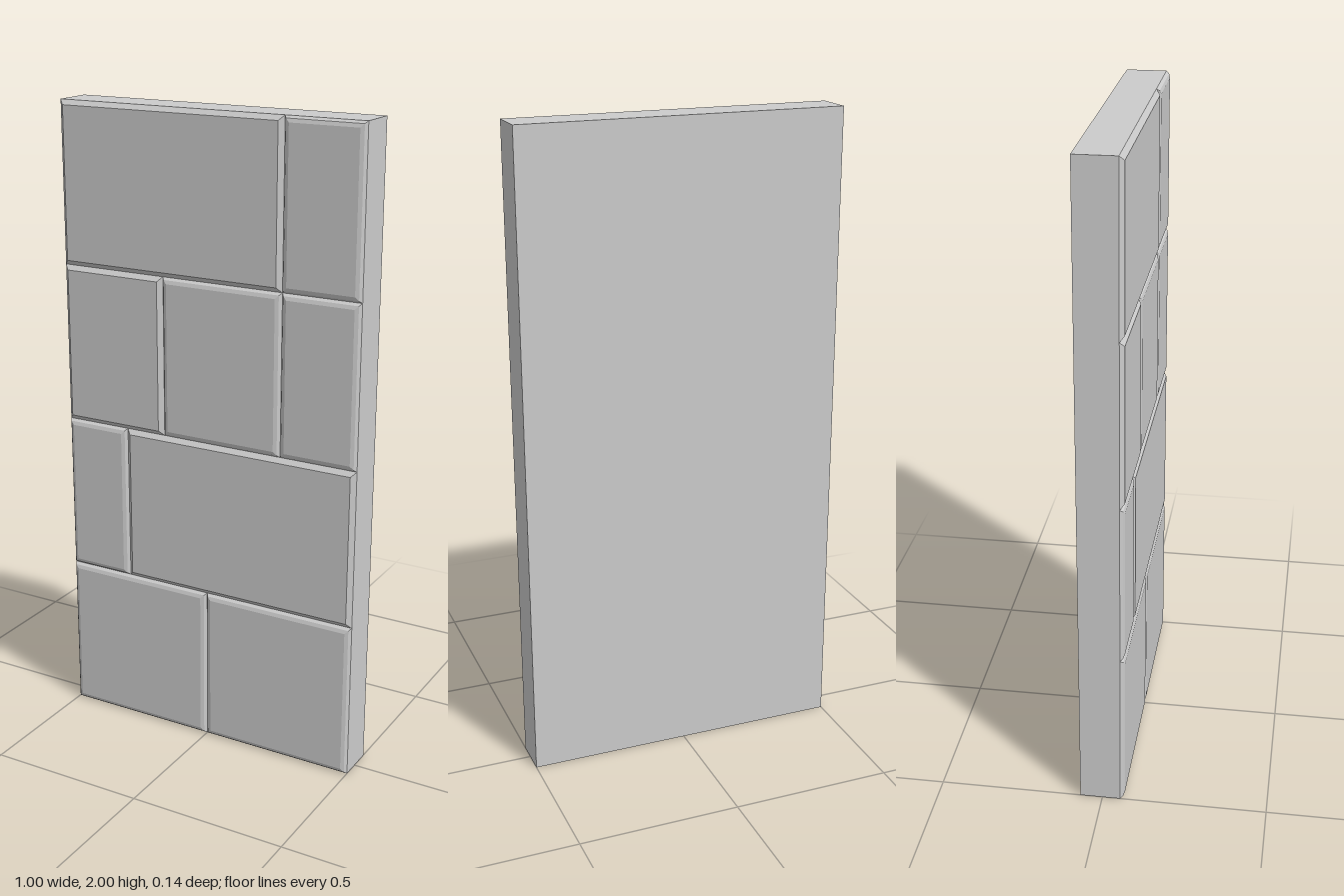
import * as THREE from 'three';

const BACK = -0.068, BASE = 0.055, RISE = 0.013;

// Bevel steps as [inset, height]: a single chamfer or a two-step rounded edge
const CHAMFER = [[0, 0], [0.015, RISE]];
const ROUNDED = [[0, 0], [0.007, 0.009], [0.018, RISE]];

// Each course: bottom, then stones as [left, right, bevel]
const COURSES = [
  [0.0, [[-0.5, 0, ROUNDED], [0, 0.5, ROUNDED]]],
  [0.5, [[-0.5, -0.285, ROUNDED], [-0.285, 0.5, CHAMFER]]],
  [1.0, [[-0.5, -0.15, CHAMFER], [-0.15, 0.25, ROUNDED], [0.25, 0.5, ROUNDED]]],
  [1.5, [[-0.5, 0.25, CHAMFER], [0.25, 0.5, ROUNDED]]],
];

// Raised stone face: rectangular rings stepping inwards, closed by a flat front
function stoneGeometry(x0, x1, y0, y1, bevel) {
  const positions = [], index = [];
  for (const [d, h] of bevel) {
    const z = BASE + h;
    positions.push(x0 + d, y0 + d, z, x1 - d, y0 + d, z, x1 - d, y1 - d, z, x0 + d, y1 - d, z);
  }
  for (let r = 0; r < bevel.length - 1; r++) {
    for (let i = 0; i < 4; i++) {
      const a = r * 4 + i, b = r * 4 + (i + 1) % 4;
      index.push(a, b, b + 4, a, b + 4, a + 4);
    }
  }
  const f = (bevel.length - 1) * 4;
  index.push(f, f + 1, f + 2, f, f + 2, f + 3);
  const indexed = new THREE.BufferGeometry();
  indexed.setAttribute('position', new THREE.Float32BufferAttribute(positions, 3));
  indexed.setIndex(index);
  const geometry = indexed.toNonIndexed();
  geometry.computeVertexNormals();
  return geometry;
}

export function createModel() {
  const model = new THREE.Group();
  model.name = 'stoneWallPanel';
  const material = new THREE.MeshStandardMaterial({ color: 0xcccccc, flatShading: true });

  // Backing slab
  const slab = new THREE.Mesh(new THREE.BoxGeometry(1, 2, BASE - BACK), material);
  slab.name = 'backingSlab';
  slab.position.set(0, 1, (BASE + BACK) / 2);
  model.add(slab);

  // Courses of bevelled stones
  COURSES.forEach(([y, stones], row) => {
    const course = new THREE.Group();
    course.name = `course${row + 1}`;
    stones.forEach(([x0, x1, bevel], i) => {
      const stone = new THREE.Mesh(stoneGeometry(x0, x1, y, y + 0.5, bevel), material);
      stone.name = `stone${i + 1}`;
      course.add(stone);
    });
    model.add(course);
  });
  return model;
}
